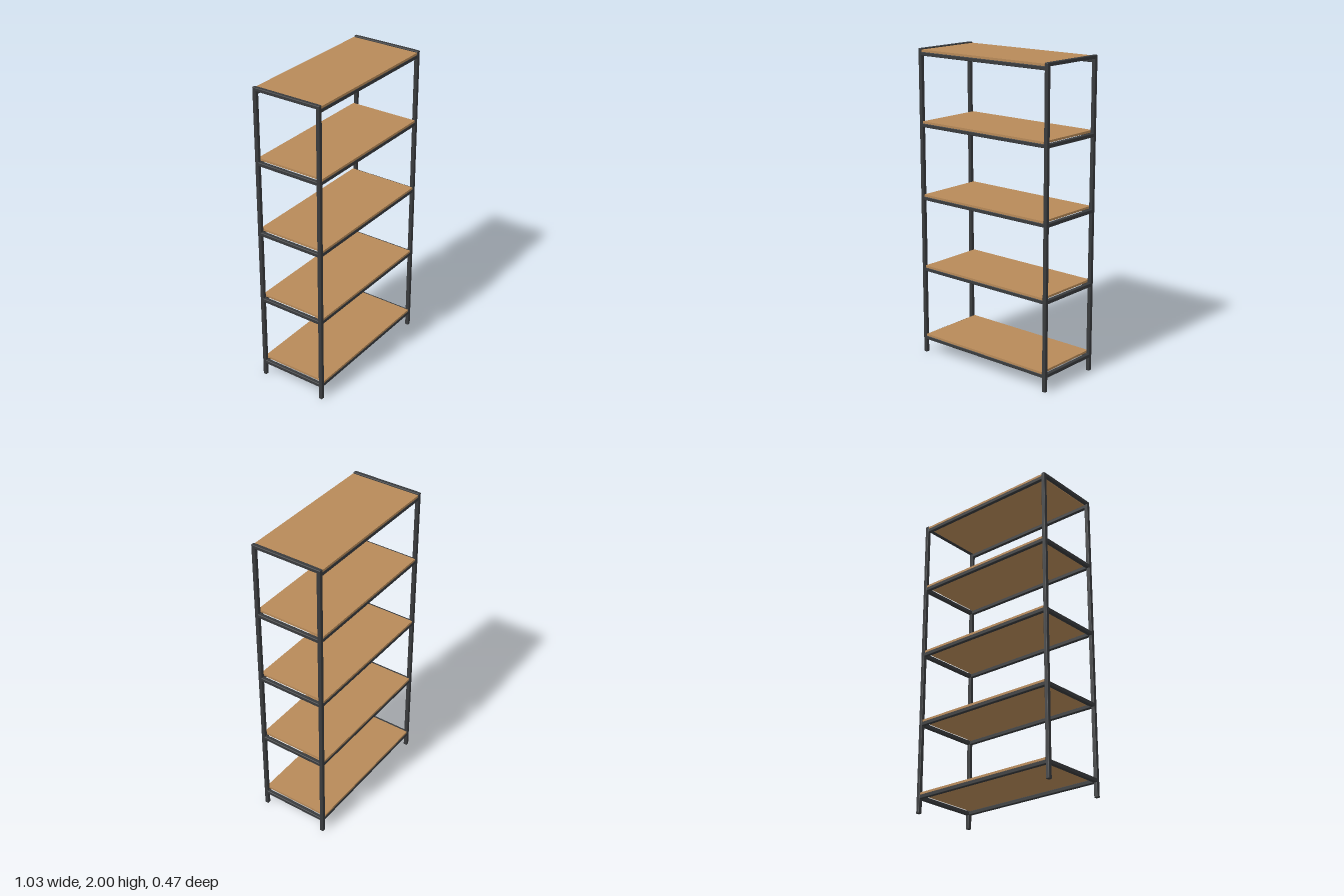
import * as THREE from 'three';
import { RoundedBoxGeometry } from 'three/addons/geometries/RoundedBoxGeometry.js';

const BAR = 0.025;            // tube thickness
const X = 0.5, Z = 0.222;     // post centre lines
const SHELVES = [0.09, 0.562, 1.036, 1.508, 1.955]; // underside of each shelf frame

export function createModel() {
  const metal = new THREE.MeshStandardMaterial({ color: 0x393b3d });
  metal.name = 'dark metal';
  const wood = new THREE.MeshStandardMaterial({ color: 0xb88a59 });
  wood.name = 'oak wood';

  const model = new THREE.Group();
  model.name = 'shelving unit';

  const add = (parent, name, geometry, material, x, y, z) => {
    const mesh = new THREE.Mesh(geometry, material);
    mesh.name = name;
    mesh.position.set(x, y, z);
    parent.add(mesh);
  };

  // Square tubes with softened edges
  const tube = (w, h, d) => new RoundedBoxGeometry(w, h, d, 2, 0.004);
  const postGeometry = tube(BAR, 2, BAR);
  const longRail = tube(2 * X - BAR + 0.01, 0.024, BAR - 0.002);
  const sideRail = tube(BAR + 0.001, 0.024, 2 * Z - BAR + 0.01);
  const topRail = tube(BAR + 0.001, 0.022, 2 * Z - BAR + 0.01);
  const boardGeometry = new THREE.BoxGeometry(0.968, 0.014, 0.465);

  // Four corner posts
  for (const sx of [-1, 1]) {
    for (const sz of [-1, 1]) {
      const name = (sz > 0 ? 'front' : 'back') + (sx > 0 ? 'Left' : 'Right') + 'Post';
      add(model, name, postGeometry, metal, sx * X, 1, sz * Z);
    }
  }

  // Shelves: a rail frame with a board lying on it
  SHELVES.forEach((y, i) => {
    const shelf = new THREE.Group();
    shelf.name = 'shelf' + (i + 1);
    const isTop = i === SHELVES.length - 1;
    for (const s of [-1, 1]) {
      add(shelf, s > 0 ? 'frontRail' : 'backRail', longRail, metal, 0, 0.012, s * Z);
      // The top side rails close the ends flush with the posts
      add(shelf, s > 0 ? 'leftRail' : 'rightRail', isTop ? topRail : sideRail, metal,
        s * X, isTop ? 2 - y - 0.011 : 0.012, 0);
    }
    add(shelf, 'board', boardGeometry, wood, 0, 0.031, 0);
    shelf.position.y = y;
    model.add(shelf);
  });

  return model;
}
